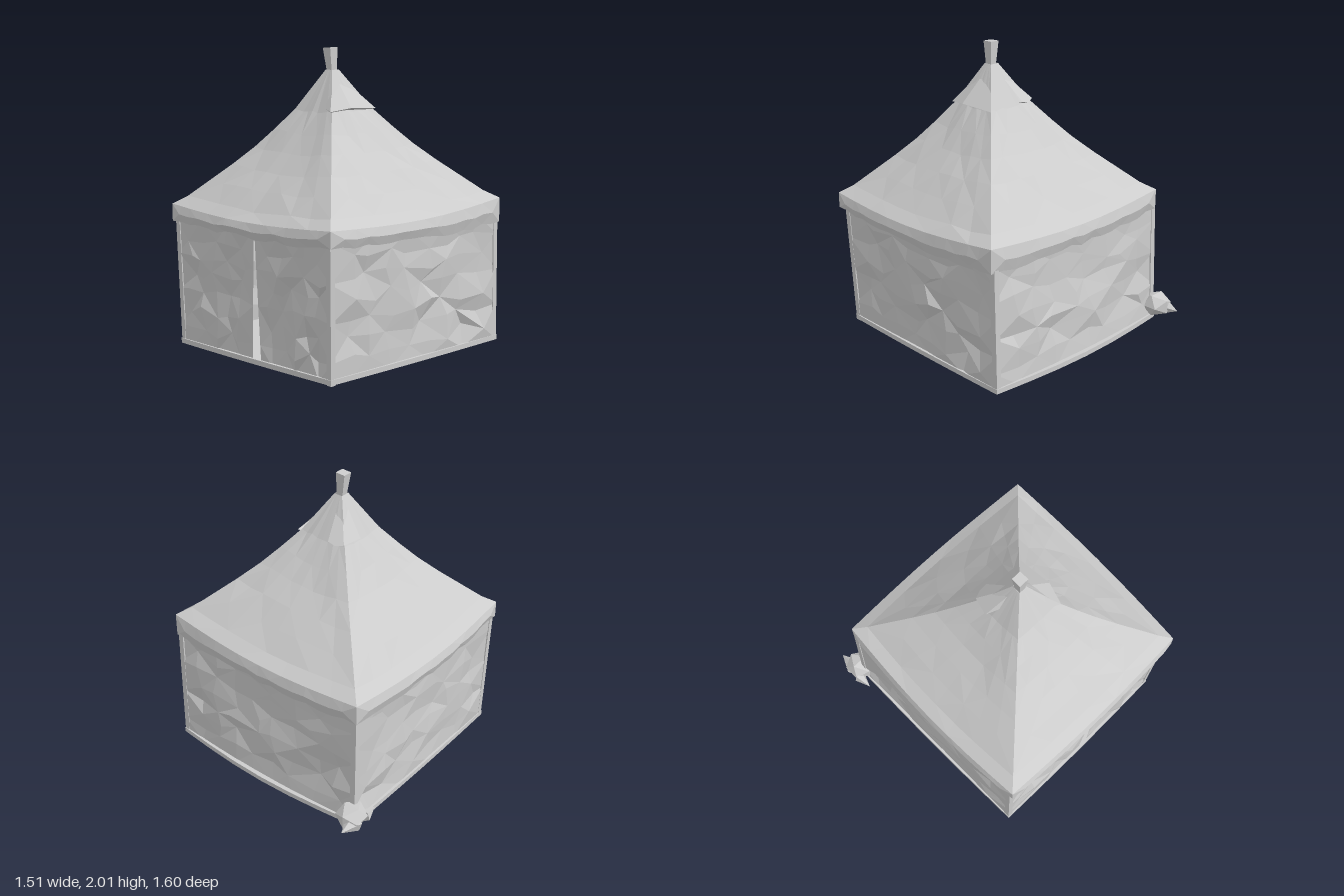
import * as THREE from 'three';

const canvas = new THREE.MeshStandardMaterial({ color: 0xcccccc, flatShading: true, side: THREE.DoubleSide });
canvas.name = 'grey canvas';

const mix = THREE.MathUtils.lerp;
// Repeatable pseudo-random value in -1..1
const hash = (a, b, c) => {
  const s = Math.sin(a * 12.99 + b * 78.23 + c * 37.72) * 43758.55;
  return (s - Math.floor(s)) * 2 - 1;
};

// Grid surface; u runs to the right and v runs down as seen from outside
function grid(nu, nv, fn) {
  const pos = [], idx = [];
  for (let j = 0; j <= nv; j++)
    for (let i = 0; i <= nu; i++) pos.push(...fn(i / nu, j / nv, i, j));
  for (let j = 0; j < nv; j++)
    for (let i = 0; i < nu; i++) {
      const a = j * (nu + 1) + i, b = a + nu + 1;
      if ((i + j) % 2) idx.push(a, b, a + 1, b, b + 1, a + 1);
      else idx.push(a, b, b + 1, a, b + 1, a + 1);
    }
  const g = new THREE.BufferGeometry();
  g.setAttribute('position', new THREE.Float32BufferAttribute(pos, 3));
  g.setIndex(idx);
  g.computeVertexNormals();
  return g;
}

// Corners go round the tent: front right hand, front left hand, back left hand, back right hand
const eaves = [[-0.67, 1.07, 0.77], [0.69, 1.06, 0.77], [0.735, 1.11, -0.6], [-0.65, 1.09, -0.62]];
const wallTop = [[-0.665, 0.99, 0.745], [0.66, 0.99, 0.745], [0.715, 1.0, -0.6], [-0.645, 1.0, -0.615]];
const wallFoot = [[-0.65, 0.215, 0.725], [0.635, 0.21, 0.715], [0.71, 0.24, -0.615], [-0.655, 0.245, -0.635]];
const sideNames = ['front', 'left', 'back', 'right'];

// Point on one side of a ring, pushed outward and sagging at the middle
function along(ring, side, u, bulge = 0, sag = 0) {
  const a = ring[side], b = ring[(side + 1) % 4], s = Math.sin(Math.PI * u);
  const dx = b[0] - a[0], dz = b[2] - a[2], len = Math.hypot(dx, dz);
  return [
    mix(a[0], b[0], u) - (dz / len) * bulge * s,
    mix(a[1], b[1], u) - sag * s,
    mix(a[2], b[2], u) + (dx / len) * bulge * s,
  ];
}

const outward = [[0, 1], [1, 0], [0, -1], [-1, 0]];
const eaveBulge = [0.015, 0.03, 0.03, 0.03];
const apex = [0.03, 1.87, 0.11];
// Concave roof profile: fraction out from the apex, fraction of the height
const profile = [[0.04, 1], [0.23, 0.71], [0.36, 0.56], [0.48, 0.43], [0.62, 0.3], [0.76, 0.18], [0.9, 0.06], [1, 0]];

function roofSide(side) {
  return grid(8, profile.length - 1, (u, v, i, j) => {
    const [t, h] = profile[j];
    const e = along(eaves, side, u, eaveBulge[side], 0.03);
    const inner = i > 0 && i < 8 && j > 0 && j < 7;
    const n = inner ? hash(i, j, side) * 0.008 : 0;
    return [mix(apex[0], e[0], t), mix(e[1], apex[1], h) + n, mix(apex[2], e[2], t)];
  });
}

// Hanging strip with a wavy lower edge
function valanceSide(side) {
  return grid(16, 2, (u, v, i) => {
    const p = along(eaves, side, u, eaveBulge[side], 0.03);
    const s = Math.sin(Math.PI * u);
    const bottom = 0.965 - 0.015 * s + (i % 16 ? hash(i, side, 3) * 0.014 : 0);
    const out = (v === 0.5 ? 0.014 : -0.004) * Math.min(1, s * 5);
    return [p[0] + outward[side][0] * out, mix(p[1], bottom, v), p[2] + outward[side][1] * out];
  });
}

// Crumpled cloth between two fractions of a side; edge lists give the span at top and foot
function wallPanel(side, top, foot, nu) {
  const nv = 7;
  return grid(nu, nv, (u, v, i, j) => {
    const inner = i > 0 && i < nu && j > 0 && j < nv ? 1 : 0;
    const uu = u + (inner * hash(i, j, side + 5) * 0.3) / nu;
    const vv = v + (inner * hash(i, j, side + 9) * 0.3) / nv;
    const a = along(wallTop, side, mix(top[0], top[1], uu));
    const b = along(wallFoot, side, mix(foot[0], foot[1], uu), side === 2 ? 0.03 : 0);
    const n = inner * hash(i, j, side + top[0]) * (0.01 + 0.018 * v) - inner * 0.008;
    return [
      mix(a[0], b[0], vv) + outward[side][0] * n,
      mix(a[1], b[1], vv),
      mix(a[2], b[2], vv) + outward[side][1] * n,
    ];
  });
}

// Triangular-ended flap fanned out from a top point, with a turned-in lower lip
function flap(top, rim) {
  return grid(rim.length - 1, 2, (u, v, i, j) => {
    if (j === 0) return top;
    const r = rim[i];
    return j === 1 ? r : [mix(r[0], top[0], 0.22), r[1] - 0.015, mix(r[2], top[2], 0.22)];
  });
}

export function createModel() {
  const group = new THREE.Group();
  group.name = 'pavilion tent';
  const add = (name, geometry) => {
    const mesh = new THREE.Mesh(geometry, canvas);
    mesh.name = name;
    group.add(mesh);
    return mesh;
  };
  // Tapered bar between two points
  const bar = (name, from, to, r0, r1, sides = 4) => {
    const a = new THREE.Vector3(...from), b = new THREE.Vector3(...to);
    const g = new THREE.CylinderGeometry(r1, r0, a.distanceTo(b), sides);
    g.rotateY(Math.PI / 4);
    const mesh = add(name, g);
    mesh.position.copy(a).lerp(b, 0.5);
    mesh.quaternion.setFromUnitVectors(new THREE.Vector3(0, 1, 0), b.sub(a).normalize());
  };

  // Roof, valance and walls
  for (let s = 0; s < 4; s++) {
    add(sideNames[s] + ' roof', roofSide(s));
    add(sideNames[s] + ' valance', valanceSide(s));
    if (s > 0) add(sideNames[s] + ' wall', wallPanel(s, [0, 1], [0, 1], 9));
    bar('corner pole', wallFoot[s].map((c, k) => (k === 1 ? c - 0.01 : c * 0.98)),
      wallTop[s].map((c, k) => (k === 1 ? c : c * 0.98)), 0.024, 0.024);
  }

  // Front curtains, parted at the foot
  add('front curtain right', wallPanel(0, [0, 0.535], [0, 0.505], 6));
  add('front curtain left', wallPanel(0, [0.54, 1], [0.56, 1], 6));
  bar('entrance pole', [0.055, 0.23, 0.69], [0.045, 0.97, 0.72], 0.012, 0.01);

  // Groundsheet with a slightly bulging back hem, tilted up to the rear
  const outline = [];
  for (let s = 0; s < 4; s++)
    for (let i = 0; i < 6; i++) {
      const p = along(wallFoot, s, i / 6, s === 2 ? 0.05 : 0.008);
      outline.push(new THREE.Vector2(p[0] * 1.01, p[2] * 1.01));
    }
  const sheet = add('groundsheet',
    new THREE.ExtrudeGeometry(new THREE.Shape(outline), { depth: 0.03, bevelEnabled: false }));
  sheet.rotation.x = Math.PI / 2 + 0.02;
  sheet.position.y = 0.25;

  // Finial on top and centre spike below
  bar('finial', [0.03, 1.85, 0.112], [0.022, 2, 0.118], 0.028, 0.044);
  bar('centre spike', [0, 0, 0.03], [0.015, 0.23, 0.04], 0.037, 0.044);

  // Raised flaps of the roof cap
  const capTop = [0.03, 1.87, 0.11];
  add('cap flap left', flap(capTop, [[0.13, 1.65, 0.26], [0.19, 1.635, 0.28], [0.228, 1.655, 0.15], [0.212, 1.645, -0.07]]));
  add('cap flap right', flap(capTop, [[-0.03, 1.66, -0.09], [-0.08, 1.65, -0.09], [-0.13, 1.66, -0.07], [-0.165, 1.67, 0.04], [-0.06, 1.72, 0.1]]));

  // Weight stone at the rear corner
  const stone = new THREE.IcosahedronGeometry(1, 0);
  stone.scale(0.095, 0.078, 0.1);
  add('corner stone', stone).position.set(-0.655, 0.335, -0.66);
  const tip = new THREE.ConeGeometry(0.06, 0.12, 5);
  tip.rotateX(-Math.PI / 2);
  add('stone rear tip', tip).position.set(-0.69, 0.315, -0.74);
  const fore = new THREE.ConeGeometry(0.04, 0.1, 5);
  fore.rotateX(Math.PI / 2);
  add('stone front tip', fore).position.set(-0.71, 0.32, -0.56);

  return group;
}
